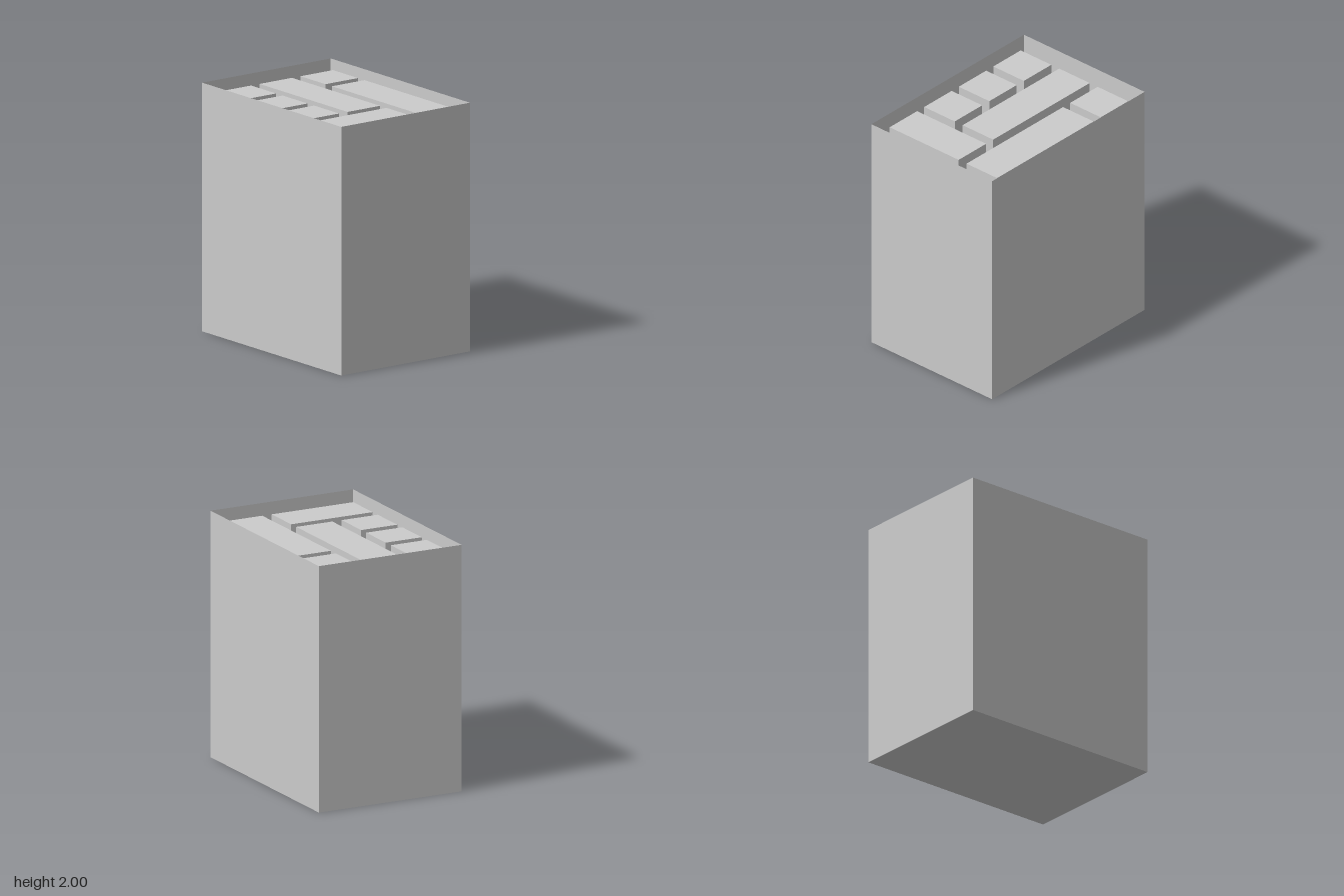
import * as THREE from 'three';

const WIDTH = 1.78, HEIGHT = 2, DEPTH = 1.265;
const PITCH = 0.403, BLOCK = 0.32;

// Bars on a 4 x 3 grid, per layer from the top: [first column, first row, last column, last row]
const FILLER = [
  [[0, 0, 3, 0], [0, 1, 1, 1], [2, 1, 3, 1], [0, 2, 1, 2], [2, 2, 3, 2]],
  [[0, 0, 0, 2], [1, 0, 3, 0], [1, 1, 2, 1], [3, 1, 3, 2], [1, 2, 2, 2]],
];
const LAYERS = [
  [[0, 0, 0, 0], [1, 0, 3, 0], [0, 1, 2, 1], [3, 1, 3, 2], [0, 2, 0, 2], [1, 2, 1, 2], [2, 2, 2, 2]],
  [[0, 0, 1, 0], [1, 1, 1, 2], [1, 0, 1, 1], [2, 0, 2, 1], [3, 0, 3, 1], [0, 1, 0, 1], [0, 2, 0, 2], [2, 2, 3, 2]],
  FILLER[0], FILLER[1], FILLER[0],
];

export function createModel() {
  const model = new THREE.Group();
  model.name = 'boxOfBlocks';
  const grey = new THREE.MeshStandardMaterial({ color: 0xcccccc, flatShading: true });
  const thin = new THREE.MeshStandardMaterial({ color: 0xcccccc, flatShading: true, side: THREE.DoubleSide });

  // Thin-walled container: a box without its top face
  const shell = new THREE.BoxGeometry(WIDTH, HEIGHT, DEPTH);
  shell.setIndex([...shell.index.array].filter((_, i) => i < 12 || i >= 18));
  shell.clearGroups();
  const container = new THREE.Mesh(shell, thin);
  container.name = 'container';
  container.position.y = HEIGHT / 2;
  model.add(container);

  // Square bars packed in five layers
  LAYERS.forEach((bars, layer) => {
    const group = new THREE.Group();
    group.name = `blockLayer${layer + 1}`;
    group.position.y = 1.78 - layer * 0.4;
    for (const [c0, r0, c1, r1] of bars) {
      const bar = new THREE.Mesh(
        new THREE.BoxGeometry((c1 - c0) * PITCH + BLOCK, BLOCK, (r1 - r0) * PITCH + BLOCK), grey);
      bar.name = 'block';
      bar.position.set(-0.613 + (c0 + c1) / 2 * PITCH, 0, -0.405 + (r0 + r1) / 2 * PITCH);
      group.add(bar);
    }
    model.add(group);
  });
  return model;
}
